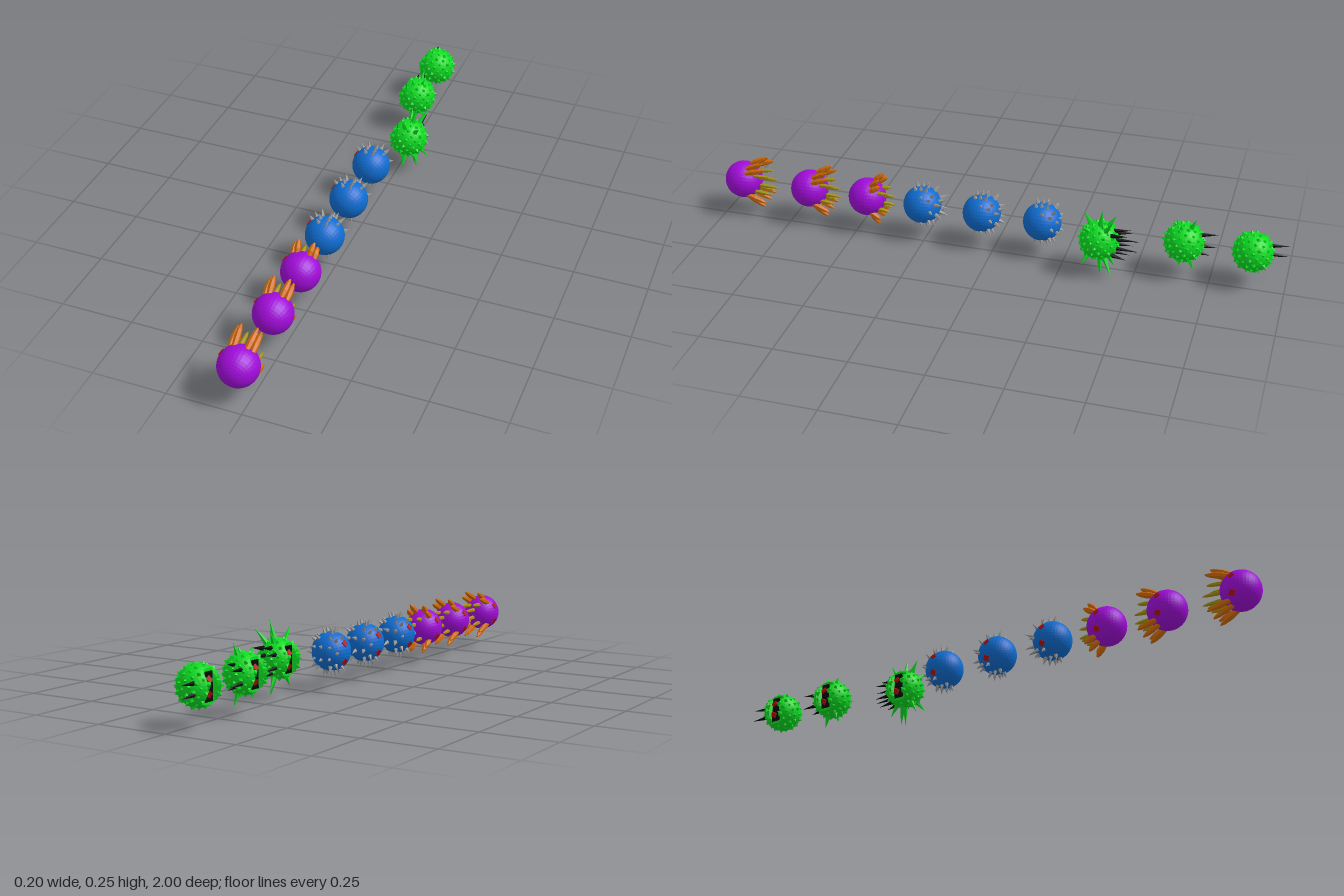
import * as THREE from 'three';

const R = 0.066, Y = 0.143;
const V = (x, y, z) => new THREE.Vector3(x, y, z);
const mat = (color) => new THREE.MeshStandardMaterial({ color, flatShading: true });

export function createModel() {
  const model = new THREE.Group();
  const purple = mat(0xa00cd8), blue = mat(0x0f6cd0), green = mat(0x0cdc22);
  const orange = mat(0xd06a08), yellow = mat(0xa89010), grey = mat(0x9a9a9a);
  const black = mat(0x080808), red = mat(0xb01010);

  // slim pointed cone between two points
  const aim = (mesh, base, tip) => {
    const d = tip.clone().sub(base);
    mesh.position.copy(base).addScaledVector(d, 0.5);
    mesh.quaternion.setFromUnitVectors(V(0, 1, 0), d.normalize());
    return mesh;
  };
  function spike(group, name, base, tip, r, m, sides = 5) {
    const mesh = new THREE.Mesh(new THREE.ConeGeometry(r, base.distanceTo(tip), sides), m);
    mesh.name = name;
    group.add(aim(mesh, base, tip));
  }
  // blunt horn that swells in the middle
  function horn(group, name, base, tip, r, m) {
    const h = base.distanceTo(tip);
    const pts = [[0, -0.5], [0.8, -0.5], [1, -0.1], [0.75, 0.25], [0.3, 0.47], [0, 0.5]]
      .map(([a, b]) => new THREE.Vector2(a * r, b * h));
    const mesh = new THREE.Mesh(new THREE.LatheGeometry(pts, 6), m);
    mesh.name = name;
    group.add(aim(mesh, base, tip));
  }
  // ball with a pair of red eyes on its -x side
  function ball(name, x, z, m, eyeR = R) {
    const g = new THREE.Group();
    g.name = name;
    g.position.set(x, Y, z);
    const geo = new THREE.SphereGeometry(R, 32, 20).rotateX(Math.PI / 2);
    const body = new THREE.Mesh(geo, m);
    body.name = 'body';
    g.add(body);
    for (const s of [1, -1]) {
      const eye = new THREE.Mesh(new THREE.BoxGeometry(0.018, 0.018, 0.008), red);
      const dir = V(-0.87, 0.45 * s, -0.12).normalize();
      eye.name = 'eye';
      eye.position.copy(dir).multiplyScalar(eyeR - 0.002);
      eye.quaternion.setFromUnitVectors(V(0, 0, 1), dir);
      g.add(eye);
    }
    model.add(g);
    return g;
  }

  // horned balls: outer orange horns and inner yellow ones, shorter on each next ball
  [[0.934, 1], [0.682, 0.84], [0.465, 0.5]].forEach(([z, k], i) => {
    const g = ball('hornedBall', -0.033, z, purple);
    for (const s of [1, -1]) {
      for (const [bx, by, bz, tx, ty, tz] of [
        [0.02, 0.052, -0.02, 0.028, 0.086, -0.088],
        [-0.02, 0.052, -0.02, -0.026, 0.086, -0.088],
        [-0.036, 0.042, -0.024, -0.042, 0.064, -0.1],
        [0.036, 0.042, -0.024, 0.036, 0.066, -0.095]])
        horn(g, 'outerHorn', V(bx, by * s, bz), V(tx, ty * s, bz + (tz - bz) * k), 0.011, orange);
      for (const [x, y, tz] of [[0.004, 0.014, -0.133], [0.024, 0.03, -0.115], [-0.014, 0.034, -0.108]])
        horn(g, 'innerHorn', V(x, y * s, -0.045), V(x * 1.15, y * s * 1.15, tz * (1 - 0.11 * i)), 0.008, yellow);
    }
  });

  // studded balls: short spikes over the sides and back
  [[0.262, 0.098], [0.047, 0.09], [-0.168, 0.08]].forEach(([z, reach]) => {
    const g = ball('studdedBall', -0.033, z, blue);
    const stud = (dir, len) => {
      dir.normalize();
      spike(g, 'stud', dir.clone().multiplyScalar(0.058), dir.clone().multiplyScalar(len), 0.0095, grey);
    };
    for (const s of [1, -1]) {
      for (const x of [-0.22, 0.22])
        for (const zz of [0.3, 0, -0.3]) stud(V(x, s, zz), 0.087);
      for (const x of [-0.75, -0.35, 0.35, 0.75]) stud(V(x, 0.75 * s, -0.65), 0.088);
      stud(V(-0.72, 0.75 * s, -0.12), 0.084);
      stud(V(0.65, 0.75 * s, -0.12), 0.08);
      for (const x of [-0.45, 0, 0.45]) stud(V(x, 0.3 * s, -0.9), reach);
    }
    for (const x of [-0.75, 0.75]) stud(V(x, 0, -0.65), 0.084);
  });

  // scaly balls: grooved face, low pyramid scales, side spikes and black back spikes
  const scaly = [
    { x: 0.031, z: -0.38,
      side: [[0.027, 0.127, -0.012], [0.058, 0.105, -0.055], [-0.005, 0.1, 0.055], [0.055, 0.075, 0.05], [-0.004, 0.098, -0.055]],
      back: [[0.015, 0.02, -0.138], [-0.028, 0.025, -0.11], [-0.005, 0.048, -0.105], [0.035, 0.045, -0.1]] },
    { x: -0.033, z: -0.655,
      side: [[0.015, 0.098, -0.038], [-0.008, 0.08, 0.03], [0.03, 0.078, 0.01]],
      back: [[-0.03, 0.025, -0.112], [0.0, 0.04, -0.09]] },
    { x: -0.033, z: -0.884, side: [], back: [[-0.03, 0.02, -0.116]] },
  ];
  for (const { x, z, side, back } of scaly) {
    const g = ball('scalyBall', x, z, green, 0.05);
    // press the face groove into the -x side
    const p = g.children[0].geometry.attributes.position;
    for (let i = 0; i < p.count; i++)
      if (Math.abs(p.getZ(i)) < 0.022 && p.getX(i) < -0.036) p.setX(i, -0.036);
    const floor = new THREE.Mesh(new THREE.BoxGeometry(0.004, 0.09, 0.034), black);
    floor.name = 'faceGroove';
    floor.position.x = -0.037;
    g.add(floor);
    const n = 110;
    for (let i = 0; i < n; i++) {
      const y = 1 - (2 * i + 1) / n, r = Math.sqrt(1 - y * y), a = i * 2.39996;
      const d = V(r * Math.cos(a), y, r * Math.sin(a));
      if (d.x < -0.42 && Math.abs(d.z) < 0.42) continue;
      spike(g, 'scale', d.clone().multiplyScalar(0.058), d.clone().multiplyScalar(0.0715 + 0.002 * (i % 3)), 0.014, green, 4);
    }
    for (const s of [1, -1]) {
      for (const [tx, ty, tz] of side) {
        const tip = V(tx, ty * s, tz);
        spike(g, 'sideSpike', tip.clone().setLength(0.052), tip, 0.012, green);
      }
      for (const [tx, ty, tz] of back)
        spike(g, 'backSpike', V(tx * 0.8, ty * s * 0.8, -0.045), V(tx, ty * s, tz), 0.009, black);
    }
  }
  return model;
}
